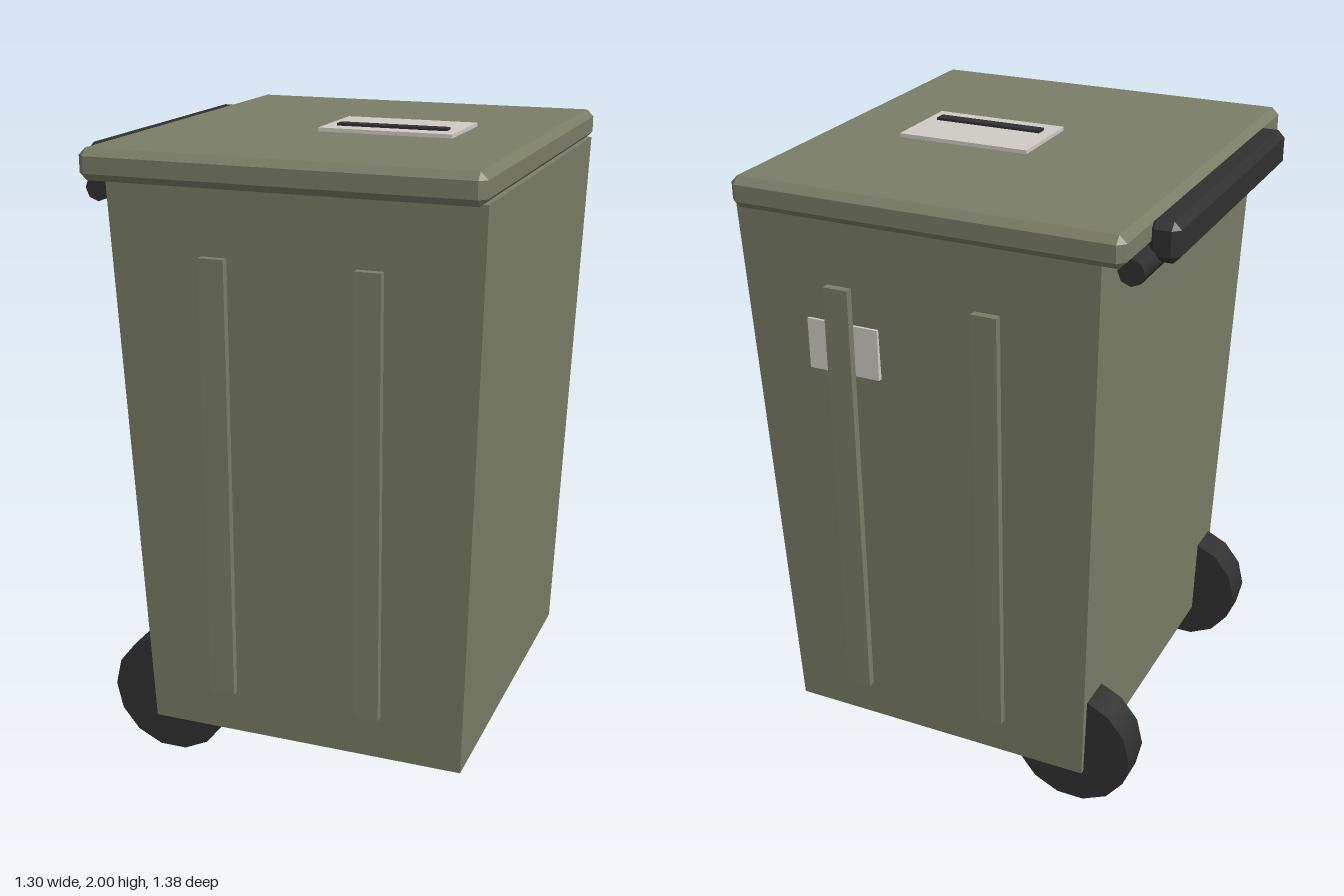
import * as THREE from 'three';
import { ConvexGeometry } from 'three/addons/geometries/ConvexGeometry.js';

const paint = (color) => new THREE.MeshStandardMaterial({ color });

export function createModel() {
  const group = new THREE.Group();
  const green = paint(0x7a7d66);
  const dark = paint(0x303030);
  const pale = paint(0xcfccc4);

  const add = (name, geometry, material) => {
    const mesh = new THREE.Mesh(geometry, material);
    mesh.name = name;
    group.add(mesh);
    return mesh;
  };

  // Plain box from its minimum and maximum corners
  const box = (name, [x0, y0, z0], [x1, y1, z1], material) => {
    const geo = new THREE.BoxGeometry(x1 - x0, y1 - y0, z1 - z0);
    geo.translate((x0 + x1) / 2, (y0 + y1) / 2, (z0 + z1) / 2);
    return add(name, geo, material);
  };

  // Box with every edge cut by c
  const chamferBox = (name, min, max, c, material) => {
    const points = [];
    for (let corner = 0; corner < 8; corner++) {
      for (let axis = 0; axis < 3; axis++) {
        const p = [0, 1, 2].map((i) => {
          const high = (corner >> i) & 1;
          const inset = i === axis ? 0 : c;
          return high ? max[i] - inset : min[i] + inset;
        });
        points.push(new THREE.Vector3(...p));
      }
    }
    return add(name, new ConvexGeometry(points), material);
  };

  // Tapered bin body
  const body = new THREE.BoxGeometry(1, 1, 1);
  const pos = body.attributes.position;
  for (let i = 0; i < pos.count; i++) {
    const top = pos.getY(i) > 0;
    const x = pos.getX(i) > 0 ? (top ? 0.65 : 0.595) : (top ? -0.5 : -0.44);
    const z = Math.sign(pos.getZ(i)) * (top ? 0.655 : 0.59);
    pos.setXYZ(i, x, top ? 1.89 : 0.115, z);
  }
  body.computeVertexNormals();
  add('body', body, green);

  // Lid with cut edges
  chamferBox('lid', [-0.575, 1.885, -0.69], [0.65, 1.98, 0.69], 0.022, green);

  // Plate and slot on the lid
  box('lidPlate', [-0.04, 1.98, -0.14], [0.39, 1.992, 0.135], pale);
  box('lidSlot', [0, 1.985, 0.037], [0.355, 2, 0.075], dark);

  // Upright ribs on the front and back
  for (const side of [1, -1]) {
    for (const x of [-0.16, 0.317]) {
      const z = [side * 0.655, side * 0.68].sort((a, b) => a - b);
      box('rib', [x - 0.04, 0.295, z[0]], [x + 0.04, 1.685, z[1]], green);
    }
  }

  // Label behind one of the back ribs
  box('backLabel', [0.2, 1.405, -0.652], [0.435, 1.565, -0.635], pale);

  // Handle bar and hinge rod along the lid edge
  chamferBox('handle', [-0.655, 1.845, -0.495], [-0.56, 1.965, 0.495], 0.022, dark);
  const rod = new THREE.CylinderGeometry(0.04, 0.04, 1.19, 8);
  rod.rotateX(Math.PI / 2);
  add('hingeRod', rod, dark).position.set(-0.56, 1.85, 0);

  // Wheels tucked under the body
  for (const side of [1, -1]) {
    const wheel = new THREE.CylinderGeometry(0.2, 0.2, 0.115, 14, 1, false, Math.PI / 2);
    wheel.rotateX(Math.PI / 2);
    add('wheel', wheel, dark).position.set(-0.395, 0.195, side * 0.517);
  }

  return group;
}
